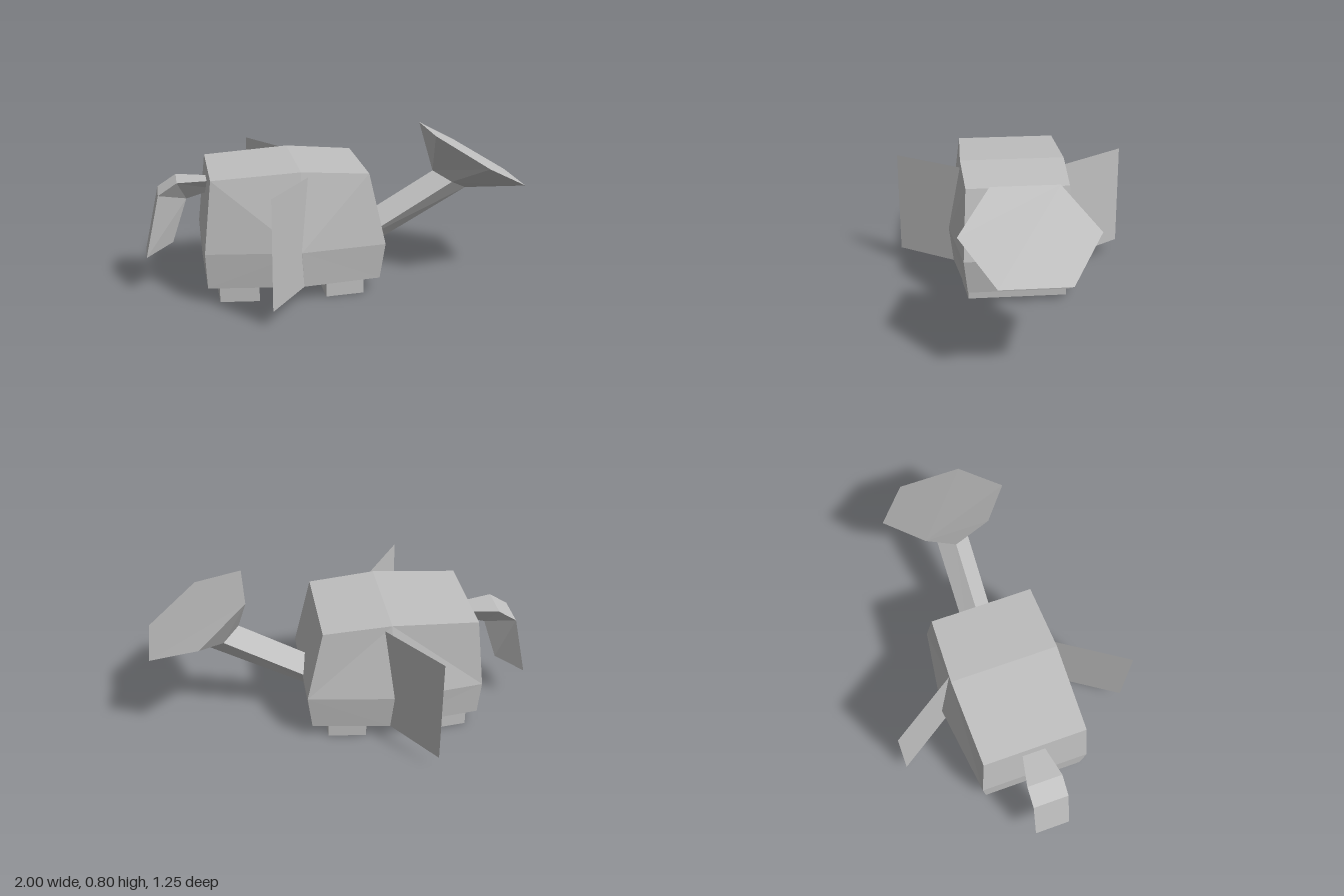
import * as THREE from 'three';

const V = (x, y, z) => new THREE.Vector3(x, y, z);
const flipZ = (p) => V(p.x, p.y, -p.z);

// Flat-shaded mesh from polygons; each is fanned from its first corner
function polyMesh(name, polys, material) {
  const pos = [];
  for (const p of polys) {
    for (let i = 1; i < p.length - 1; i++) {
      const tri = new THREE.Triangle(p[0], p[i], p[i + 1]);
      if (tri.getArea() < 1e-7) continue;
      pos.push(...p[0].toArray(), ...p[i].toArray(), ...p[i + 1].toArray());
    }
  }
  const g = new THREE.BufferGeometry();
  g.setAttribute('position', new THREE.Float32BufferAttribute(pos, 3));
  g.computeVertexNormals();
  const mesh = new THREE.Mesh(g, material);
  mesh.name = name;
  return mesh;
}

// Closed skin over rings that run counter-clockwise seen from the last ring
function loft(rings) {
  const polys = [[...rings[0]].reverse(), rings[rings.length - 1]];
  for (let r = 0; r < rings.length - 1; r++) {
    const a = rings[r], b = rings[r + 1], n = a.length;
    for (let i = 0; i < n; i++) {
      const j = (i + 1) % n;
      polys.push([a[i], a[j], b[j], b[i]]);
    }
  }
  return polys;
}

export function createModel() {
  const metal = new THREE.MeshStandardMaterial({ color: 0xc0c0c0, side: THREE.DoubleSide });
  metal.name = 'grey metal';
  metal.flatShading = true;
  const group = new THREE.Group();
  group.name = 'wateringCan';
  const add = (name, polys) => group.add(polyMesh(name, polys, metal));

  // Faceted tank: three levels, each with back, centre and front corners
  const T = [V(-0.67, 0.645, 0.27), V(-0.22, 0.672, 0.283), V(0.13, 0.645, 0.27)];
  const M = [V(-0.71, 0.27, 0.29), V(-0.228, 0.27, 0.353), V(0.215, 0.27, 0.29)];
  const B = [V(-0.7, 0.08, 0.27), V(-0.215, 0.08, 0.33), V(0.19, 0.08, 0.27)];
  const [t, m, b] = [T, M, B].map((level) => level.map(flipZ));
  const side = [
    [M[1], M[2], T[2], T[1]], [M[1], T[1], T[0], M[0]],
    [M[1], B[1], B[2], M[2]], [M[1], M[0], B[0], B[1]],
  ];
  const tank = [...side, ...side.map((p) => p.map(flipZ).reverse())];
  tank.push([M[2], m[2], t[2], T[2]], [B[2], b[2], m[2], M[2]]);
  tank.push([T[0], t[0], m[0], M[0]], [M[0], m[0], b[0], B[0]]);
  for (let i = 0; i < 2; i++) {
    tank.push([T[i], T[i + 1], t[i + 1], t[i]], [b[i], b[i + 1], B[i + 1], B[i]]);
  }
  add('tank', tank);

  // Two feet, tapered in plan
  const foot = (name, x0, z0, x1, z1) => add(name, loft([0, 0.09].map((y) =>
    [V(x0, y, z0), V(x1, y, z1), V(x1, y, -z1), V(x0, y, -z0)])));
  foot('spoutFoot', -0.095, 0.287, 0.105, 0.265);
  foot('handleFoot', -0.64, 0.265, -0.44, 0.287);

  // Four-sided spout; doubled top and bottom corners open into the six-sided rose
  const diamond = (top, mid, low) => [V(...top, 0), V(...top, 0), V(...mid, 0.085),
    V(...low, 0), V(...low, 0), V(...mid, -0.085)];
  const neck = diamond([0.535, 0.57], [0.62, 0.525], [0.72, 0.467]);
  add('spout', loft([diamond([0.1, 0.313], [0.1, 0.217], [0.1, 0.118]), neck]));
  add('rose', loft([neck, [V(0.5, 0.8, -0.17), V(0.5, 0.8, 0.17), V(0.745, 0.655, 0.337),
    V(1, 0.51, 0.17), V(1, 0.51, -0.17), V(0.745, 0.655, -0.337)]]));

  // Bent triangular handle with its ridge on the inside
  const wedge = (ix, iy, ox, oy, z) => [V(ix, iy, 0), V(ox, oy, z), V(ox, oy, -z)];
  const handle = polyMesh('handle', loft([
    wedge(-0.63, 0.524, -0.63, 0.583, 0.05),
    wedge(-0.782, 0.48, -0.83, 0.59, 0.092),
    wedge(-0.782, 0.48, -0.927, 0.527, 0.092),
    wedge(-0.86, 0.245, -1, 0.197, 0.092),
  ]), metal);
  handle.position.z = -0.008;
  group.add(handle);

  // Swept-back thin fins, one on each side
  for (const s of [1, -1]) {
    add(s > 0 ? 'frontFin' : 'backFin', [[V(-0.41, 0.08, 0.625 * s), V(-0.172, 0.08, 0.265 * s),
      V(-0.172, 0.645, 0.265 * s), V(-0.41, 0.645, 0.625 * s)]]);
  }
  return group;
}
